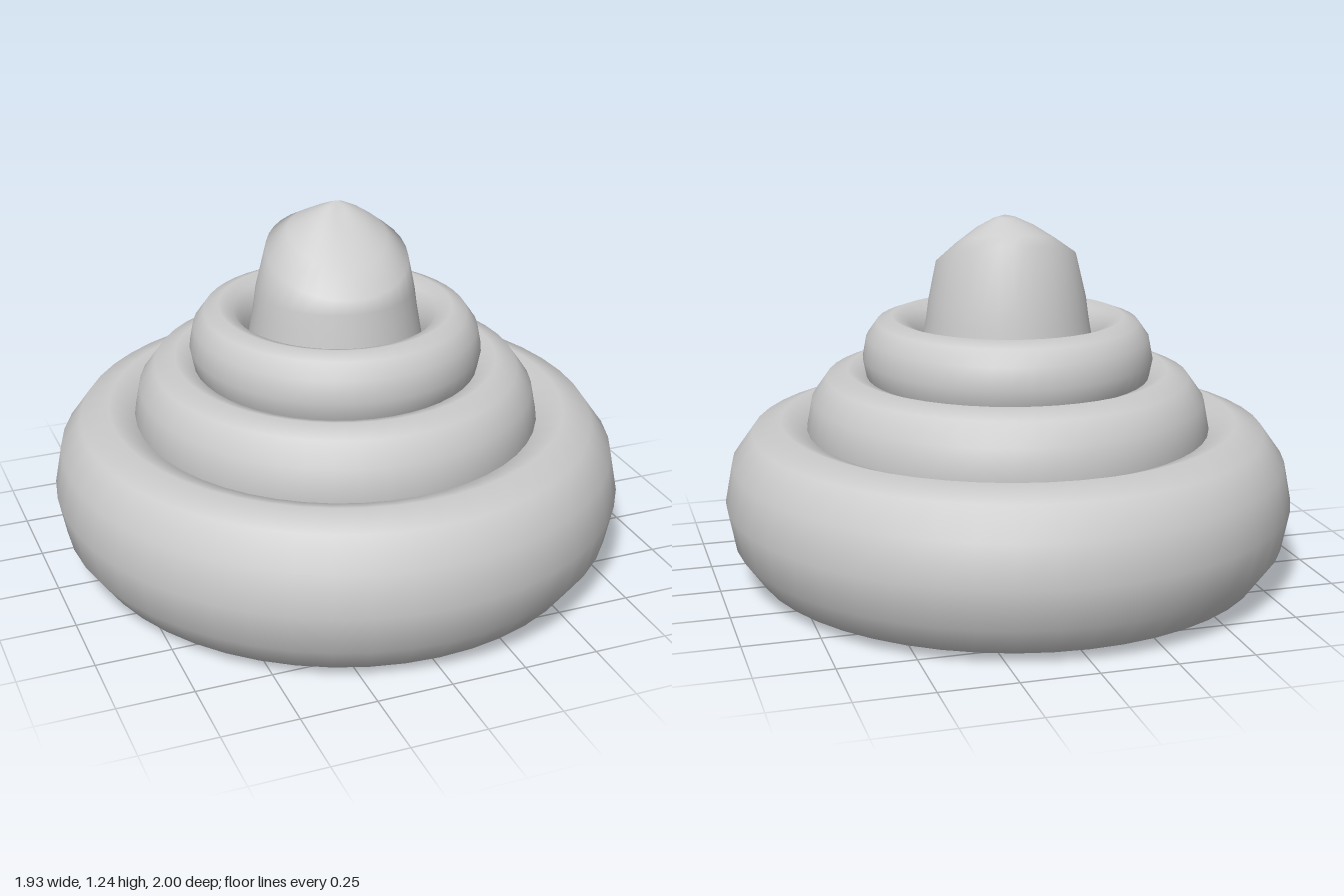
import * as THREE from 'three';

const material = new THREE.MeshStandardMaterial({ color: 0xcccccc });
const DEPTH = 1.037; // every coil is slightly longer front to back

// Flattened ring: outer radius, radial half-width, centre height, half-height
function coil(name, outer, width, y, height) {
  const geometry = new THREE.TorusGeometry(outer - width, width, 12, 48);
  geometry.rotateX(Math.PI / 2);
  geometry.scale(1, height / width, DEPTH);
  const mesh = new THREE.Mesh(geometry, material);
  mesh.name = name;
  mesh.position.y = y;
  return mesh;
}

// Lopsided tip: round stem, slanted shoulder lower at the front, off-centre apex
function tipGeometry() {
  const sides = 32;
  const apex = new THREE.Vector3(0.02, 1.235, -0.04);
  const stem = [[0.355, 0.29], [0.3, 0.74], [0.274, 0.89], [0.266, 0.95]];
  const crown = [[0, 0], [0.3, 0.4], [0.6, 0.74], [0.85, 0.94]]; // inward, upward
  const positions = [];
  const index = [];
  const rows = stem.length + crown.length;
  for (let j = 0; j < rows; j++) {
    for (let i = 0; i < sides; i++) {
      const a = (i / sides) * Math.PI * 2;
      const s = Math.sin(a), c = Math.cos(a);
      if (j < stem.length) {
        const [r, y] = stem[j];
        positions.push(r * s, y, r * c);
      } else {
        const [inward, upward] = crown[j - stem.length];
        const rim = 0.236 + 0.02 * c;
        const shoulder = 1.085 - 0.08 * c - 0.01 * c * c + 0.008 * s;
        // The front and back slopes are straighter than the sides
        const rise = THREE.MathUtils.lerp(upward, inward, 0.65 * c * c);
        positions.push(
          THREE.MathUtils.lerp(rim * s, apex.x, inward),
          THREE.MathUtils.lerp(shoulder, apex.y, rise),
          THREE.MathUtils.lerp(rim * c, apex.z, inward));
      }
    }
  }
  positions.push(apex.x, apex.y, apex.z);
  const top = rows * sides;
  for (let i = 0; i < sides; i++) {
    const n = (i + 1) % sides;
    for (let j = 0; j < rows - 1; j++) {
      const a = j * sides + i, b = j * sides + n;
      index.push(a, b, b + sides, a, b + sides, a + sides);
    }
    index.push((rows - 1) * sides + i, (rows - 1) * sides + n, top);
  }
  const geometry = new THREE.BufferGeometry();
  geometry.setAttribute('position', new THREE.Float32BufferAttribute(positions, 3));
  geometry.setIndex(index);
  geometry.computeVertexNormals();
  return geometry;
}

export function createModel() {
  const model = new THREE.Group();
  model.name = 'coiledSwirl';

  // Three stacked coils
  model.add(coil('bottomCoil', 0.964, 0.193, 0.27, 0.27));
  model.add(coil('middleCoil', 0.683, 0.142, 0.512, 0.2));
  model.add(coil('topCoil', 0.49, 0.1, 0.75, 0.14));

  // Tip rising through the coils, closed underneath
  const tip = new THREE.Mesh(tipGeometry(), material);
  tip.name = 'tip';
  const base = new THREE.Mesh(new THREE.CircleGeometry(0.355, 32), material);
  base.name = 'tipBase';
  base.rotation.x = Math.PI / 2;
  base.position.y = 0.29;
  model.add(tip, base);

  return model;
}
